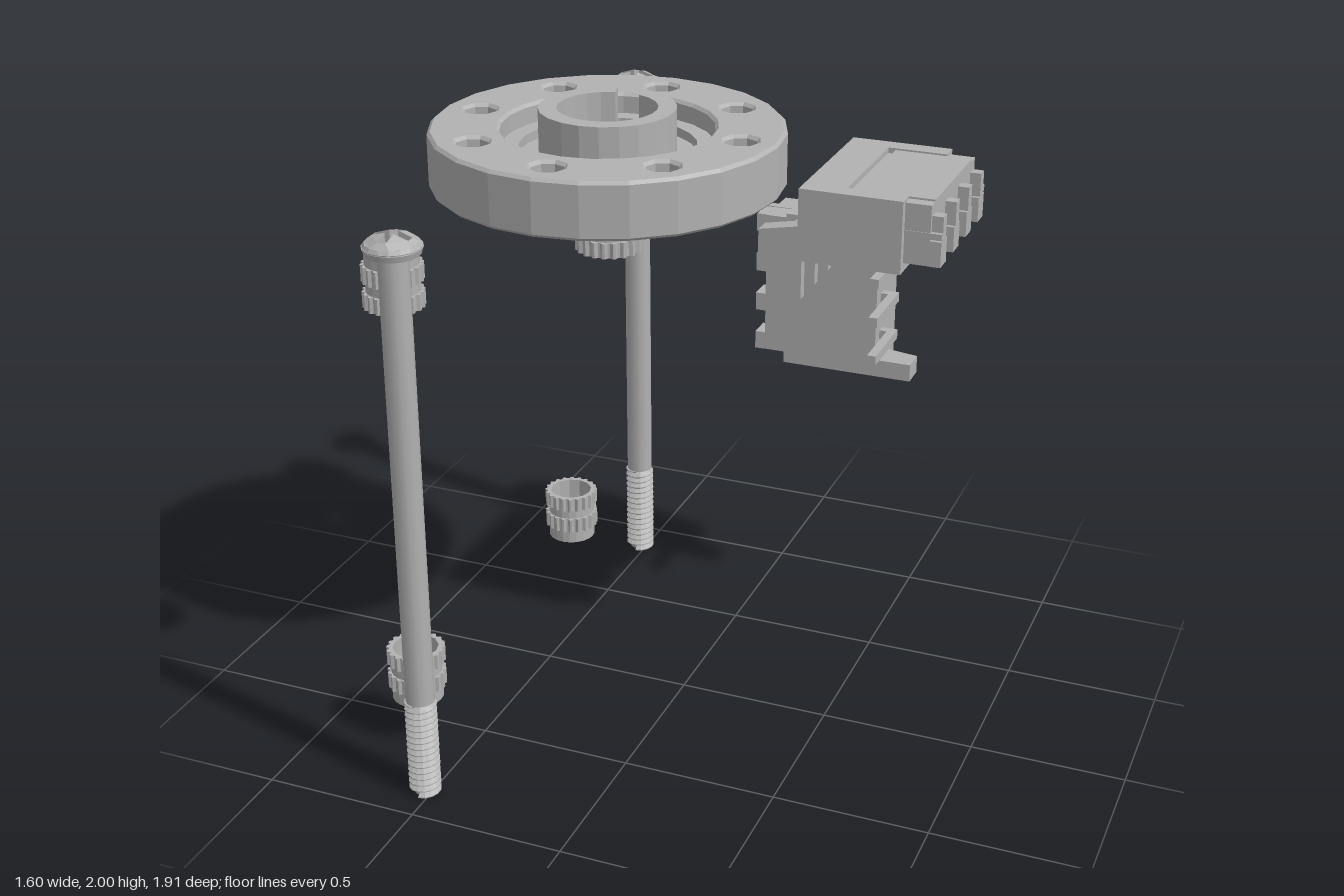
import * as THREE from 'three';

const metal = new THREE.MeshStandardMaterial({ color: 0xb2b2b2 });
metal.name = 'plain grey';

function add(parent, geo, name, x = 0, y = 0, z = 0) {
  const m = new THREE.Mesh(geo, metal);
  m.name = name;
  m.position.set(x, y, z);
  parent.add(m);
  return m;
}

// points along an arc; a full turn by default
function arc(r, n, a0 = 0, a1 = Math.PI * 2, cx = 0, cy = 0) {
  const pts = [];
  for (let i = 0; i <= n; i++) {
    const a = a0 + (a1 - a0) * i / n;
    pts.push(new THREE.Vector2(cx + r * Math.cos(a), cy + r * Math.sin(a)));
  }
  if (Math.abs(a1 - a0) > 6.28) pts.pop();
  return pts;
}

// extrude an outline upwards from y0 to y1, with optional chamfer
function slab(outline, holes, y0, y1, bevel = 0) {
  const s = new THREE.Shape(outline);
  holes.forEach(h => s.holes.push(new THREE.Path(h)));
  const g = new THREE.ExtrudeGeometry(s, {
    depth: y1 - y0 - 2 * bevel, bevelEnabled: bevel > 0, bevelSize: bevel,
    bevelThickness: bevel, bevelOffset: -bevel, bevelSegments: 1, steps: 1
  });
  return g.rotateX(-Math.PI / 2).translate(0, y0 + bevel, 0);
}

// domed screw head with a cross recess, base at y = 0
function screwHead(scale) {
  const g = new THREE.Group();
  g.name = 'screwHead';
  const R = 0.088, a = 0.014, b = 0.062;
  const cross = [[a, b], [-a, b], [-a, a], [-b, a], [-b, -a], [-a, -a],
    [-a, -b], [a, -b], [a, -a], [b, -a], [b, a], [a, a]].map(p => new THREE.Vector2(...p));
  const cap = slab(arc(R, 16), [cross], 0.02, 0.065);
  const p = cap.attributes.position;
  for (let i = 0; i < p.count; i++) {
    const r = Math.hypot(p.getX(i), p.getZ(i)) / R;
    if (p.getY(i) > 0.04) {
      p.setY(i, 0.065 - 0.03 * r * r);
      p.setX(i, p.getX(i) * (1 - 0.1 * r * r));
      p.setZ(i, p.getZ(i) * (1 - 0.1 * r * r));
    }
  }
  cap.computeVertexNormals();
  add(g, cap, 'crossRecessCap');
  add(g, new THREE.CylinderGeometry(R, R * 0.92, 0.024, 16), 'headBase', 0, 0.012, 0);
  g.scale.set(scale, 1, scale);
  return g;
}

function longScrew() {
  const g = new THREE.Group();
  g.name = 'longScrew';
  add(g, new THREE.CylinderGeometry(0.045, 0.045, 1.47, 12), 'shank', 0, 1.065, 0);
  // helical thread: ridged profile sheared by one pitch per turn
  const n = 15, pitch = 0.33 / n, pts = [new THREE.Vector2(0, 0), new THREE.Vector2(0.035, 0)];
  for (let i = 0; i < n; i++) {
    pts.push(new THREE.Vector2(0.036, (i + 0.05) * pitch), new THREE.Vector2(0.051, (i + 0.45) * pitch),
      new THREE.Vector2(0.051, (i + 0.6) * pitch));
  }
  pts.push(new THREE.Vector2(0.036, 0.33), new THREE.Vector2(0, 0.33));
  const t = new THREE.LatheGeometry(pts, 14), p = t.attributes.position, uv = t.attributes.uv;
  for (let i = 0; i < p.count; i++) {
    const y = p.getY(i);
    if (y > 0 && y < 0.33) p.setY(i, Math.min(0.33, y + (uv.getX(i) - 0.5) * pitch));
    if (p.getY(i) < 0) p.setY(i, 0);
  }
  const flat = t.toNonIndexed();
  flat.computeVertexNormals();
  add(g, flat, 'thread');
  const head = screwHead(1);
  head.position.y = 1.79;
  g.add(head);
  return g;
}

// knurled sleeve, 0.18 tall, plain collar at the bottom
function insert(r, open) {
  const g = new THREE.Group();
  g.name = 'knurledInsert';
  const bore = open ? [arc(r * 0.78, 12)] : [];
  const teeth = [], n = 20;
  for (let i = 0; i < n * 4; i++) {
    const a = (i + 0.5) / (n * 4) * Math.PI * 2, q = i % 4 < 2 ? r : r * 0.91;
    teeth.push(new THREE.Vector2(q * Math.cos(a), q * Math.sin(a)));
  }
  add(g, slab(arc(r * 0.88, 20), bore, 0, 0.178), 'sleeve');
  add(g, slab(teeth, bore, 0.045, 0.098), 'lowerKnurl');
  add(g, slab(teeth, bore, 0.13, 0.18), 'upperKnurl');
  return g;
}

function hub() {
  const g = new THREE.Group();
  g.name = 'hub';
  const holes = [arc(0.33, 24)];
  for (let i = 0; i < 8; i++) {
    const a = i * Math.PI / 4;
    holes.push(arc(0.052, 8, 0, Math.PI * 2, 0.433 * Math.cos(a), 0.433 * Math.sin(a)));
  }
  add(g, slab(arc(0.55, 24), holes, 1.765, 1.945, 0.01), 'disc');
  add(g, slab(arc(0.335, 24), [arc(0.275, 24)], 1.768, 1.88), 'grooveFloor');
  // rings with a keyway gap at the back
  const gap = 0.26, a0 = Math.PI / 2 + gap, a1 = Math.PI * 2.5 - gap;
  const ring = (ro, ri) => arc(ro, 20, a0, a1).concat(arc(ri, 20, a1, a0));
  add(g, slab(ring(0.278, 0.14), [], 1.73, 1.85), 'lowerCollar');
  add(g, slab(ring(0.212, 0.155), [], 1.84, 2.0), 'boss');
  add(g, new THREE.CylinderGeometry(0.15, 0.15, 0.05, 16), 'boreFloor', 0, 1.755, 0);
  const head = screwHead(1.6);
  head.position.y = 1.78;
  g.add(head);
  const plug = insert(0.108, false);
  plug.rotation.x = Math.PI;
  plug.position.y = 1.725;
  g.add(plug);
  return g;
}

// three-pin socket: x towards the opening, y up, z across
function connector() {
  const g = new THREE.Group();
  g.name = 'pinConnector';
  const box = (name, x0, x1, y0, y1, z0, z1) => add(g, new THREE.BoxGeometry(x1 - x0, y1 - y0, z1 - z0),
    name, (x0 + x1) / 2, (y0 + y1) / 2, (z0 + z1) / 2);
  box('housing', 0.125, 0.45, 0, 0.212, -0.27, 0.27);
  box('rearTopBar', 0.125, 0.26, 0.212, 0.23, -0.27, 0.27);
  box('topPanel', 0.285, 0.53, 0.205, 0.226, -0.205, 0.205);
  box('frontLip', 0.45, 0.53, 0.03, 0.22, -0.245, 0.245);
  for (const s of [-1, 1]) {
    const a = s * 0.21, b = s * 0.27;
    box('topRail', 0.26, 0.45, 0.212, 0.23, Math.min(a, b), Math.max(a, b));
    // sloping rear ear
    const ear = new THREE.ExtrudeGeometry(new THREE.Shape([[0, 0], [0.125, 0], [0.125, 0.11], [0, 0.085]]
      .map(p => new THREE.Vector2(...p))), { depth: 0.06, bevelEnabled: false });
    add(g, ear, 'rearEar', 0, 0, Math.min(a, b));
    box('sideLatch', 0.44, 0.565, 0.115, 0.135, s * 0.235 - 0.012, s * 0.235 + 0.012);
  }
  for (const z of [-0.215, -0.072, 0.072, 0.215]) {
    box('toothBase', 0.53, 0.565, 0.03, 0.11, z - 0.031, z + 0.031);
    box('toothTip', 0.53, 0.565, 0.11, 0.185, z - 0.018, z + 0.018);
  }
  for (const z of [-0.135, 0, 0.135]) {
    box('pinLeg', 0.07, 0.1, -0.175, 0.075, z - 0.016, z + 0.016);
    box('pinArm', 0.1, 0.13, 0.045, 0.075, z - 0.016, z + 0.016);
  }
  return g;
}

export function createModel() {
  const model = new THREE.Group();
  model.name = 'hubAssembly';

  const wheel = hub();
  wheel.position.x = -0.25;
  model.add(wheel);

  for (const s of [-1, 1]) {
    const screw = longScrew();
    screw.position.set(-0.525, 0, s * 0.865);
    model.add(screw);

    const low = insert(0.094, true);
    low.position.set(-0.685, 0.155, s * 0.597);
    model.add(low);

    const high = insert(0.094, true);
    high.rotation.x = Math.PI;
    high.position.set(-0.685, 1.69, s * 0.597);
    model.add(high);
  }

  const upper = connector();
  upper.position.set(0.235, 1.58, -0.29);
  model.add(upper);

  // same part lying on its back, opening the other way
  const lower = connector();
  lower.quaternion.setFromRotationMatrix(new THREE.Matrix4().makeBasis(
    new THREE.Vector3(-1, 0, 0), new THREE.Vector3(0, 0, -1), new THREE.Vector3(0, -1, 0)));
  lower.position.set(0.555, 1.215, -0.66);
  model.add(lower);

  return model;
}
